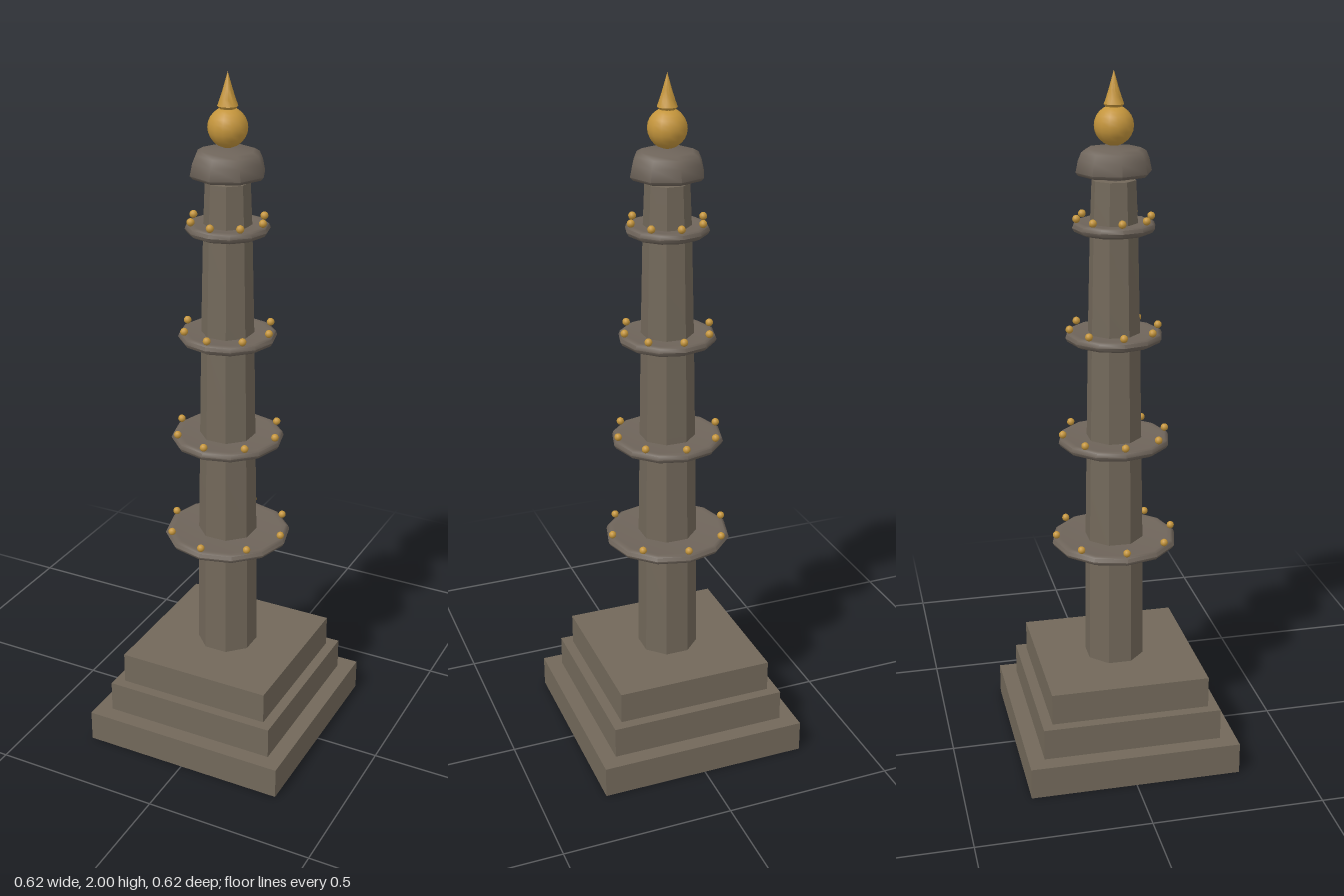
import * as THREE from 'three';
import { toCreasedNormals } from 'three/addons/utils/BufferGeometryUtils.js';

export function createModel() {
  const model = new THREE.Group();
  model.name = 'tieredTower';

  const material = (name, color) => {
    const m = new THREE.MeshStandardMaterial({ color });
    m.name = name;
    return m;
  };
  const stone = material('stone', 0x72685a);
  const trim = material('trimStone', 0x6e645a);
  const gold = material('gold', 0xc4953c);

  const add = (parent, name, geometry, mat, x = 0, y = 0, z = 0) => {
    const mesh = new THREE.Mesh(geometry, mat);
    mesh.name = name;
    mesh.position.set(x, y, z);
    parent.add(mesh);
    return mesh;
  };
  // Profiles run from the bottom upwards as [radius, height]
  const lathe = (profile, sides, crease, start = 0) =>
    toCreasedNormals(
      new THREE.LatheGeometry(profile.map(([r, y]) => new THREE.Vector2(r, y)), sides, start),
      crease
    );

  // Square stepped plinth
  const stepHeight = 0.0935;
  [0.62, 0.526, 0.466].forEach((w, i) =>
    add(model, `plinthStep${i + 1}`, new THREE.BoxGeometry(w, stepHeight, w), stone, 0, stepHeight * (i + 0.5), 0)
  );

  // Tapered octagonal shaft with a flat face to the front
  const shaftProfile = [[0.082, 0.28], [0.079, 0.65], [0.074, 0.96], [0.069, 1.27], [0.062, 1.58], [0.057, 1.71]]
    .map(([halfWidth, y]) => [halfWidth / Math.cos(Math.PI / 8), y]);
  shaftProfile.push([0, 1.71]);
  add(model, 'shaft', lathe(shaftProfile, 8, 0.4, Math.PI / 8), stone);

  // Balconies with eight gilded beads on each rim
  const bead = new THREE.SphereGeometry(0.011, 12, 8);
  [0.172, 0.15, 0.127, 0.105].forEach((r, i) => {
    const balcony = new THREE.Group();
    balcony.name = `balcony${i + 1}`;
    balcony.position.y = 0.652 + i * 0.31;
    model.add(balcony);
    const profile = [
      [0.04, -0.012], [r - 0.006, -0.016], [r + 0.006, -0.01], [r + 0.012, 0],
      [r + 0.008, 0.01], [r, 0.014], [r - 0.012, 0.012], [0.04, 0.01],
    ];
    add(balcony, 'balconyRing', lathe(profile, 12, 0.9), trim);
    for (let k = 0; k < 8; k++) {
      const a = (k * Math.PI) / 4;
      add(balcony, 'bead', bead, gold, r * Math.sin(a), 0.025, r * Math.cos(a));
    }
  });

  // Neck and octagonal cap
  add(model, 'neck', new THREE.CylinderGeometry(0.03, 0.03, 0.03, 8), trim, 0, 1.717, 0);
  add(model, 'cap', lathe([
    [0, 1.716], [0.04, 1.717], [0.098, 1.723], [0.106, 1.732],
    [0.099, 1.765], [0.09, 1.786], [0.074, 1.795], [0, 1.798],
  ], 8, 0.9), trim);

  // Gilded bulb and pointed spire
  add(model, 'finialBulb', new THREE.SphereGeometry(0.054, 14, 12), gold, 0, 1.855, 0);
  add(model, 'finialSpire', lathe([
    [0.018, 1.89], [0.022, 1.905], [0.028, 1.911], [0.021, 1.93], [0.013, 1.955], [0, 2],
  ], 12, 0.9), gold);

  return model;
}
